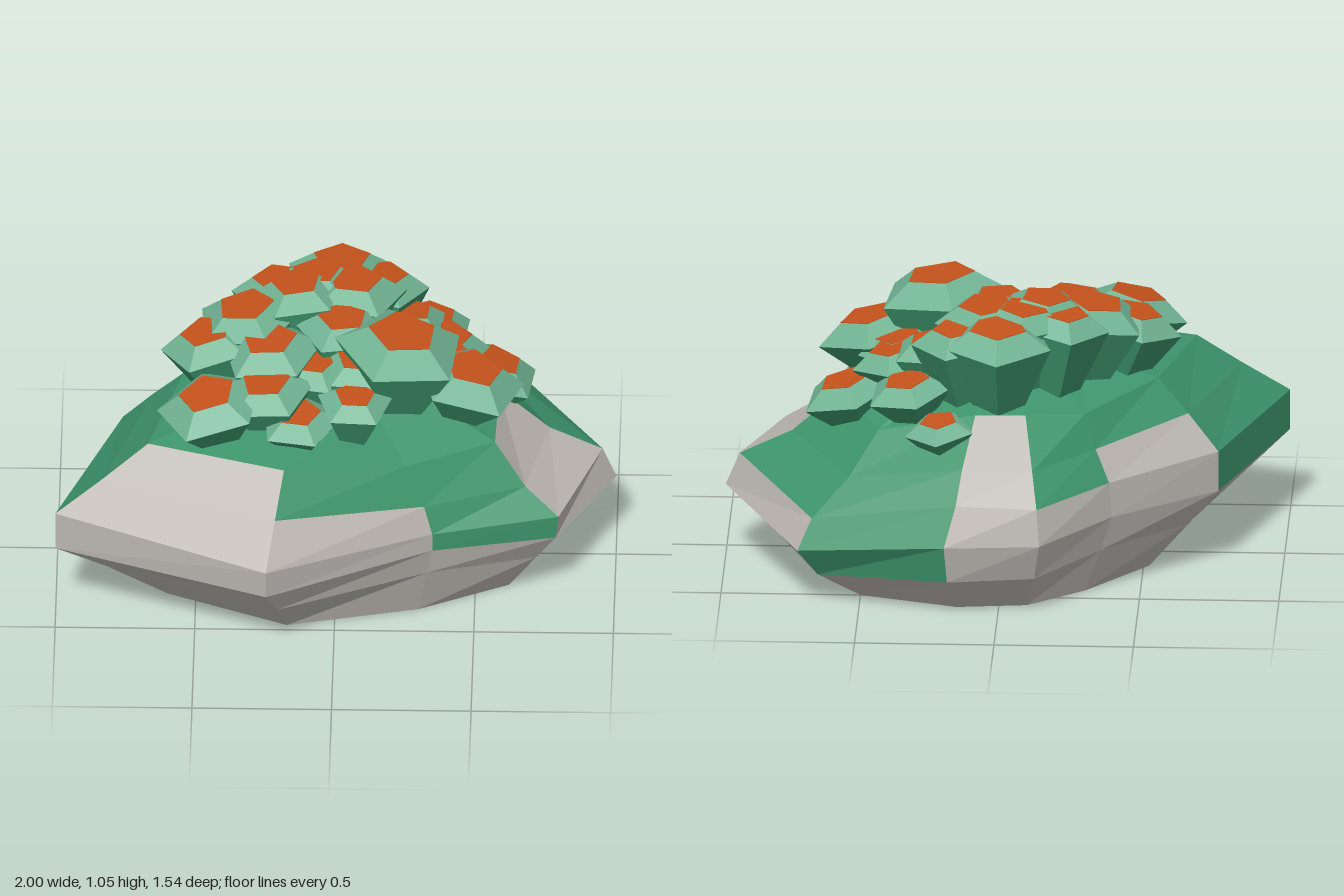
import * as THREE from 'three';

const material = (name, color) => {
  const m = new THREE.MeshStandardMaterial({ color, flatShading: true });
  m.name = name;
  return m;
};

// Rock cross-sections: ten corners each, counterclockwise from the left tip
const foot = [[-.6, 0, .28], [-.17, 0, .47], [.3, 0, .36], [.62, 0, .2], [.66, 0, -.1],
  [.5, 0, -.5], [.15, 0, -.61], [-.1, 0, -.58], [-.3, 0, -.42], [-.52, 0, -.15]];
const belly = [[-.82, .18, .37], [-.2, .19, .65], [.33, .2, .42], [.72, .17, .27], [.87, .15, -.1],
  [.65, .11, -.59], [.18, .14, -.74], [-.13, .14, -.69], [-.36, .17, -.46], [-.66, .17, -.17]];
const lowerRim = [[-1, .31, .45], [-.24, .32, .76], [.35, .31, .44], [.79, .29, .32], [1, .27, -.1],
  [.72, .22, -.65], [.19, .28, -.77], [-.15, .28, -.74], [-.4, .3, -.47], [-.77, .3, -.18]];
const upperRim = [[-1, .46, .45], [-.24, .43, .77], [.35, .38, .44], [.8, .38, .32], [.95, .39, -.1],
  [.67, .33, -.61], [.15, .42, -.71], [-.14, .41, -.71], [-.39, .43, -.47], [-.77, .45, -.18]];
const slope = [[-.83, .58, .4], [-.21, .57, .64], [.32, .48, .41], [.68, .47, .26], [.76, .48, -.1],
  [.54, .46, -.53], [.13, .53, -.63], [-.12, .52, -.61], [-.34, .54, -.42], [-.66, .58, -.14]];
const shoulder = [[-.67, .7, .35], [-.18, .7, .51], [.25, .62, .36], [.57, .62, .2], [.58, .64, -.1],
  [.44, .6, -.42], [.09, .68, -.47], [-.09, .68, -.46], [-.3, .66, -.38], [-.55, .7, -.1]];

// Moss (m) or bare stone (s) for every cell, from the foot upward
const cover = ['ssssssssss', 'sssssmssss', 'ssmssmsssm', 'ssmsmmsmsm', 'smmsmmsmmm', 'mmmmmmmmmm'];

function buildRock(stone, moss) {
  const group = new THREE.Group();
  group.name = 'rock';
  const crown = shoulder.map(([x, , z]) => [x * .5, .77, z * .5]);
  const rings = [foot, belly, lowerRim, upperRim, slope, shoulder, crown];
  const faces = { s: [], m: [] };
  cover.forEach((row, r) => {
    for (let i = 0; i < 10; i++) {
      const j = (i + 1) % 10, lo = rings[r], hi = rings[r + 1];
      faces[row[i]].push(...lo[i], ...lo[j], ...hi[j], ...lo[i], ...hi[j], ...hi[i]);
    }
  });
  // Closed top and flat underside
  for (let i = 0; i < 10; i++) {
    const j = (i + 1) % 10;
    faces.m.push(0, .78, 0, ...crown[i], ...crown[j]);
    faces.s.push(0, 0, -.05, ...foot[j], ...foot[i]);
  }
  for (const [key, name, mat] of [['s', 'bareStone', stone], ['m', 'mossPatches', moss]]) {
    const g = new THREE.BufferGeometry();
    g.setAttribute('position', new THREE.Float32BufferAttribute(faces[key], 3));
    g.computeVertexNormals();
    const mesh = new THREE.Mesh(g, mat);
    mesh.name = name;
    group.add(mesh);
  }
  return group;
}

// Rosettes: x, z, rim radius, top height
const inner = [[.01, -.41, .2, 1.005], [.16, -.35, .17, .98], [.06, -.24, .19, 1.03], [-.15, -.19, .17, 1.045],
  [-.22, -.27, .17, 1.015], [-.08, -.28, .17, 1.035], [-.33, -.11, .2, 1], [-.24, .06, .19, .97],
  [.02, -.04, .17, 1], [.24, .09, .24, 1.025], [.08, .13, .15, .94], [-.08, .12, .15, .92]];
const outer = [[.22, -.5, .13, .68], [.34, -.38, .16, .79], [.57, -.19, .18, .72], [.4, -.18, .16, .84],
  [.38, -.08, .16, .85], [.49, .08, .21, .87], [-.47, -.03, .18, .94], [-.46, .29, .2, .89],
  [-.25, .24, .17, .91], [-.13, .32, .15, .83], [.07, .29, .14, .89], [.26, -.24, .15, .9]];

function buildRosette([x, z, r, top], index, stemMat, leafMat, flowerMat) {
  const group = new THREE.Group();
  group.name = 'rosette' + (index + 1);
  const turn = Math.PI + Math.sin(index * 5) * .25;
  const add = (name, rTop, rBottom, h, yTop, open, mat) => {
    const mesh = new THREE.Mesh(
      new THREE.CylinderGeometry(rTop, rBottom, h, 5, 1, open, turn).toNonIndexed(), mat);
    mesh.geometry.computeVertexNormals();
    mesh.name = name;
    mesh.position.y = yTop - h / 2;
    group.add(mesh);
  };
  const collar = r * .3;
  const stem = Math.max(r * .6, top - collar - .7);
  add('stem', r, r * .48, stem, -collar, false, stemMat);
  add('leafCollar', r * .53, r, collar, 0, true, leafMat);
  add('flowerFace', r * .53, r * .53, .004, .002, false, flowerMat);
  // Lean away from the middle of the clump
  group.position.set(x, top - .01, z);
  const axis = new THREE.Vector3(x * .5, 1, z * .28).normalize();
  group.quaternion.setFromUnitVectors(new THREE.Vector3(0, 1, 0), axis);
  return group;
}

export function createModel() {
  const stone = material('stone', 0xbab5b0);
  const moss = material('moss green', 0x3d946b);
  const leaf = material('pale leaf green', 0x70b292);
  const flower = material('rust orange', 0xc4521c);
  const model = new THREE.Group();
  model.name = 'mossyRock';
  model.add(buildRock(stone, moss));
  const clump = new THREE.Group();
  clump.name = 'rosetteClump';
  [...inner, ...outer].forEach((spec, i) => clump.add(buildRosette(spec, i, moss, leaf, flower)));
  model.add(clump);
  return model;
}
